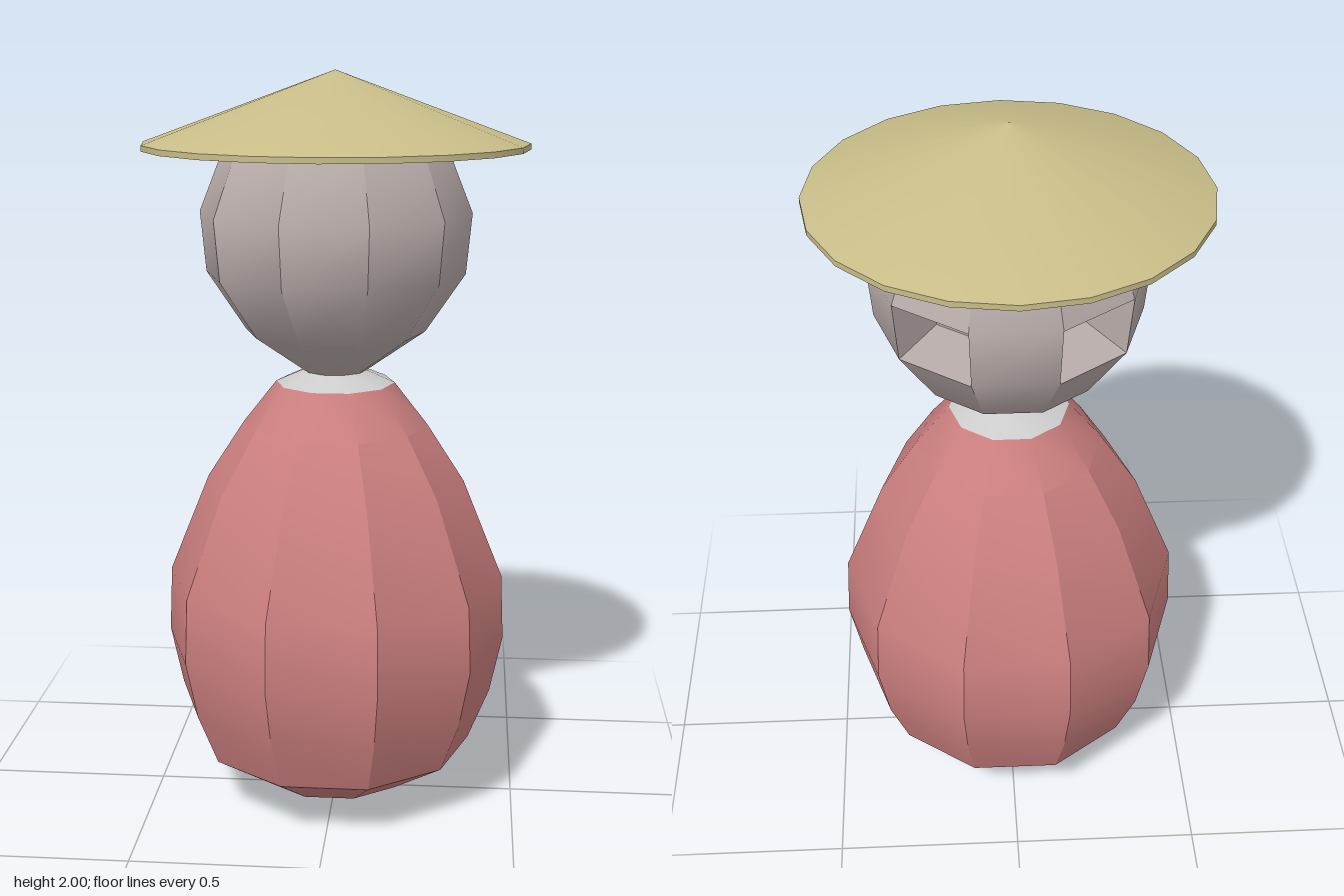
import * as THREE from 'three';
import { toCreasedNormals } from 'three/addons/utils/BufferGeometryUtils.js';

const SIDES = 10;
const CREASE = Math.PI / 6;

function addPart(group, name, geometry, color, side = THREE.FrontSide) {
  const mesh = new THREE.Mesh(
    toCreasedNormals(geometry, CREASE),
    new THREE.MeshStandardMaterial({ color, side })
  );
  mesh.name = name;
  group.add(mesh);
}

// Turned shape whose first corner lies on the x axis
function turned(profile, sides) {
  const points = profile.map(([r, y]) => new THREE.Vector2(r, y));
  return new THREE.LatheGeometry(points, sides, Math.PI / 2);
}

// Ten-sided head; the two eye facets at the back are pushed in along their normals
function headGeometry() {
  const rings = [
    [0.08, 1.21], [0.24, 1.32], [0.345, 1.475], [0.36, 1.635],
    [0.29, 1.81], [0.235, 1.87], [0.001, 1.92],
  ];
  const eyeBand = 2, eyeColumns = [6, 8], eyeDepth = 0.16;
  const positions = [];
  const quad = (a, b, c, d) => {
    for (const p of [a, b, c, a, c, d]) positions.push(p.x, p.y, p.z);
  };
  const corner = (j, k) => {
    const angle = (k % SIDES) * 2 * Math.PI / SIDES;
    const [r, y] = rings[j];
    return new THREE.Vector3(r * Math.cos(angle), y, r * Math.sin(angle));
  };
  for (let j = 0; j < rings.length - 1; j++) {
    for (let k = 0; k < SIDES; k++) {
      const outer = [corner(j, k + 1), corner(j, k), corner(j + 1, k), corner(j + 1, k + 1)];
      if (j !== eyeBand || !eyeColumns.includes(k)) {
        quad(...outer);
        continue;
      }
      // Eye socket: four walls and a back
      const normal = outer[1].clone().sub(outer[0]).cross(outer[3].clone().sub(outer[0])).normalize();
      const inner = outer.map((p) => p.clone().addScaledVector(normal, -eyeDepth));
      for (let i = 0; i < 4; i++) {
        const n = (i + 1) % 4;
        quad(outer[i], outer[n], inner[n], inner[i]);
      }
      quad(...inner);
    }
  }
  const geometry = new THREE.BufferGeometry();
  geometry.setAttribute('position', new THREE.Float32BufferAttribute(positions, 3));
  return geometry;
}

export function createModel() {
  const model = new THREE.Group();
  model.name = 'hattedFigure';

  // Egg-shaped body
  addPart(model, 'body', turned([
    [0, 0], [0.217, 0.055], [0.375, 0.157], [0.433, 0.3], [0.467, 0.46],
    [0.459, 0.64], [0.35, 0.91], [0.25, 1.065], [0.16, 1.18],
  ], SIDES), 0xcc7f7f);

  // Pale collar closing the body up to the neck
  addPart(model, 'collar', turned([[0.16, 1.18], [0.08, 1.215]], SIDES), 0xcccccc, THREE.DoubleSide);

  addPart(model, 'head', headGeometry(), 0xb8acaa);

  // Conical hat: hollow underside, thin rim, sloping top
  addPart(model, 'hat', turned([
    [0, 1.965], [0.507, 1.8], [0.507, 1.815], [0, 2],
  ], 20), 0xc8bd88, THREE.DoubleSide);

  return model;
}
